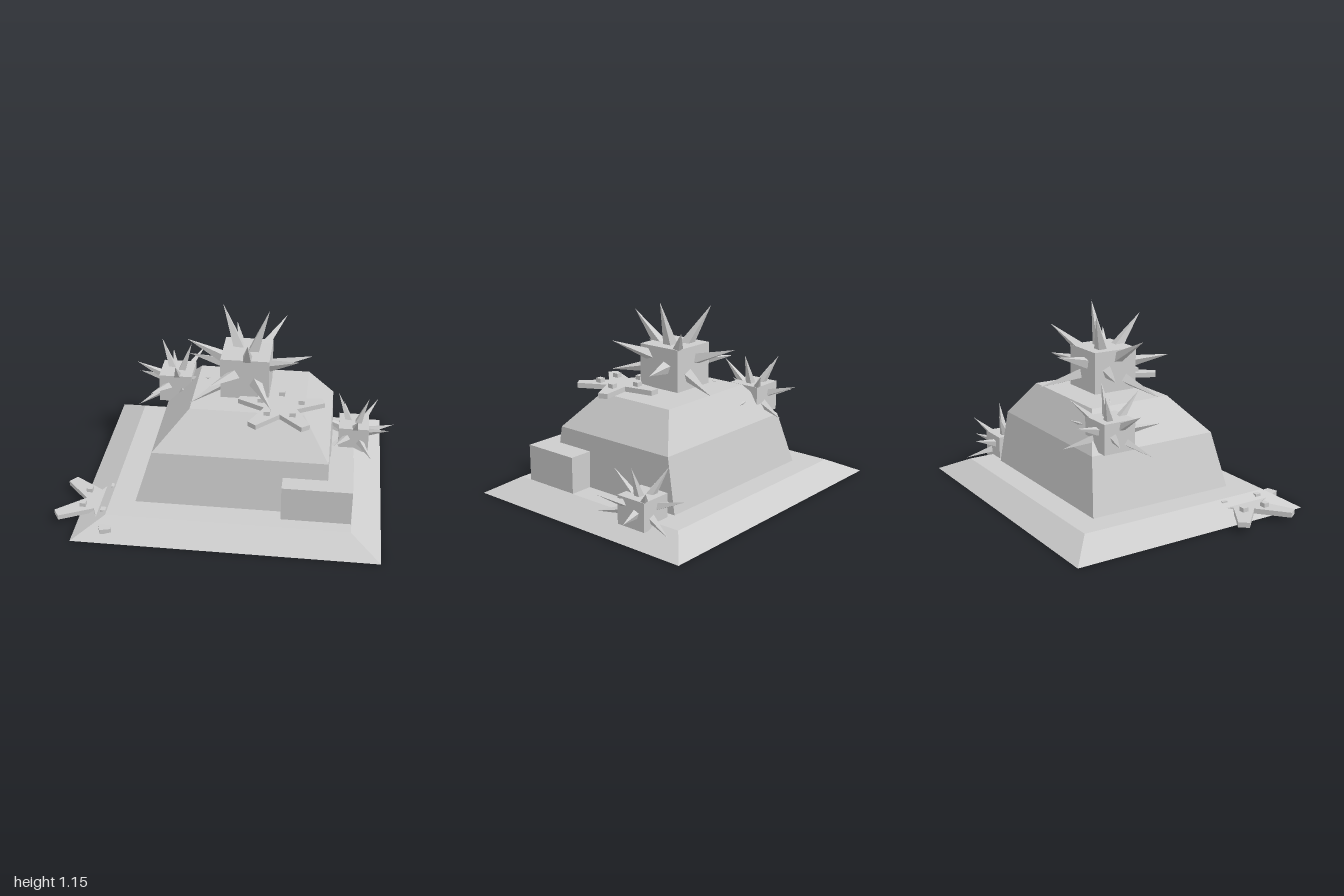
import * as THREE from 'three';

const stone = new THREE.MeshStandardMaterial({ color: 0xcccccc, flatShading: true });
stone.name = 'pale grey stone';

function add(parent, name, geometry) {
  const mesh = new THREE.Mesh(geometry, stone);
  mesh.name = name;
  parent.add(mesh);
  return mesh;
}

// Block whose bottom and top rectangles are given as [x0, x1, z0, z1]
function slopedBlock(bottom, top, y0, y1) {
  const g = new THREE.BoxGeometry(1, 1, 1);
  const p = g.attributes.position;
  for (let i = 0; i < p.count; i++) {
    const up = p.getY(i) > 0;
    const r = up ? top : bottom;
    p.setXYZ(i, r[p.getX(i) > 0 ? 1 : 0], up ? y1 : y0, r[p.getZ(i) > 0 ? 3 : 2]);
  }
  g.computeVertexNormals();
  return g;
}

// Spike tips measured from the middle of the urchin body
const SPIKE_TIPS = [
  [-0.16, 0.345, -0.145], [0.13, 0.385, 0.0], [0.03, 0.295, 0.285], // top
  [-0.18, 0.065, 0.36], [0.17, -0.06, 0.355],                       // front
  [0.32, 0.165, 0.2], [0.385, 0.025, -0.145],                       // left
  [-0.345, 0.205, 0.06], [-0.37, 0.0, -0.146], [-0.32, -0.15, 0.19],// right
  [-0.1, 0.12, -0.37], [0.12, -0.108, -0.37], [0.22, 0.25, -0.235], // back
];

function urchin(name, x, y, z, scale) {
  const group = new THREE.Group();
  group.name = name;
  add(group, 'urchinBody', new THREE.BoxGeometry(0.285, 0.25, 0.285));
  const up = new THREE.Vector3(0, 1, 0);
  for (const t of SPIKE_TIPS) {
    const tip = new THREE.Vector3(...t);
    const length = tip.length() * 0.8;
    const g = new THREE.ConeGeometry(0.048, length, 4);
    g.rotateY(Math.PI / 4);
    const spike = add(group, 'spike', g);
    spike.quaternion.setFromUnitVectors(up, tip.clone().normalize());
    spike.position.copy(tip).multiplyScalar(0.6);
  }
  group.position.set(x, y, z);
  group.scale.setScalar(scale);
  return group;
}

// Five blunt arms with a small square bump on each; angle turns from +x to +z
function starfish(name, x, y, z, radius, angle) {
  const group = new THREE.Group();
  group.name = name;
  const points = [];
  const polar = (r, a) => new THREE.Vector2(r * Math.cos(a), r * Math.sin(a));
  const step = Math.PI * 2 / 5;
  for (let i = 0; i < 5; i++) {
    const a = angle + i * step;
    points.push(polar(radius, a - 0.11), polar(radius, a + 0.11), polar(0.1, a + step / 2));
    const b = polar(0.125, a);
    add(group, 'bump', new THREE.BoxGeometry(0.036, 0.03, 0.036)).position.set(b.x, 0.01, b.y);
  }
  const g = new THREE.ExtrudeGeometry(new THREE.Shape(points), { depth: 0.03, bevelEnabled: false });
  g.rotateX(Math.PI / 2);
  add(group, 'starBody', g);
  group.position.set(x, y, z);
  return group;
}

export function createModel() {
  const model = new THREE.Group();
  model.name = 'urchinRock';

  // Sloping seabed plinth
  add(model, 'plinth', slopedBlock([-0.86, 0.92, -0.765, 0.76], [-0.68, 0.745, -0.615, 0.61], 0, 0.09));

  // Rock mound in two tiers
  const middle = [-0.43, 0.595, -0.415, 0.41];
  add(model, 'lowerRock', slopedBlock([-0.53, 0.605, -0.47, 0.46], middle, 0.09, 0.41));
  add(model, 'upperRock', slopedBlock(middle, [-0.23, 0.44, -0.29, 0.23], 0.41, 0.615));

  // Side block
  add(model, 'sideBlock', new THREE.BoxGeometry(0.405, 0.22, 0.355)).position.set(0.54, 0.198, 0.355);

  // Sea creatures
  model.add(
    urchin('topUrchin', 0.08, 0.765, -0.025, 1),
    urchin('leftUrchin', 0.74, 0.145, -0.36, 0.67),
    urchin('rightUrchin', -0.38, 0.51, -0.265, 0.71),
    starfish('topStarfish', 0.3, 0.655, 0.2, 0.26, -0.33),
    starfish('cornerStarfish', -0.735, 0.06, 0.425, 0.295, 1.31),
  );
  return model;
}
